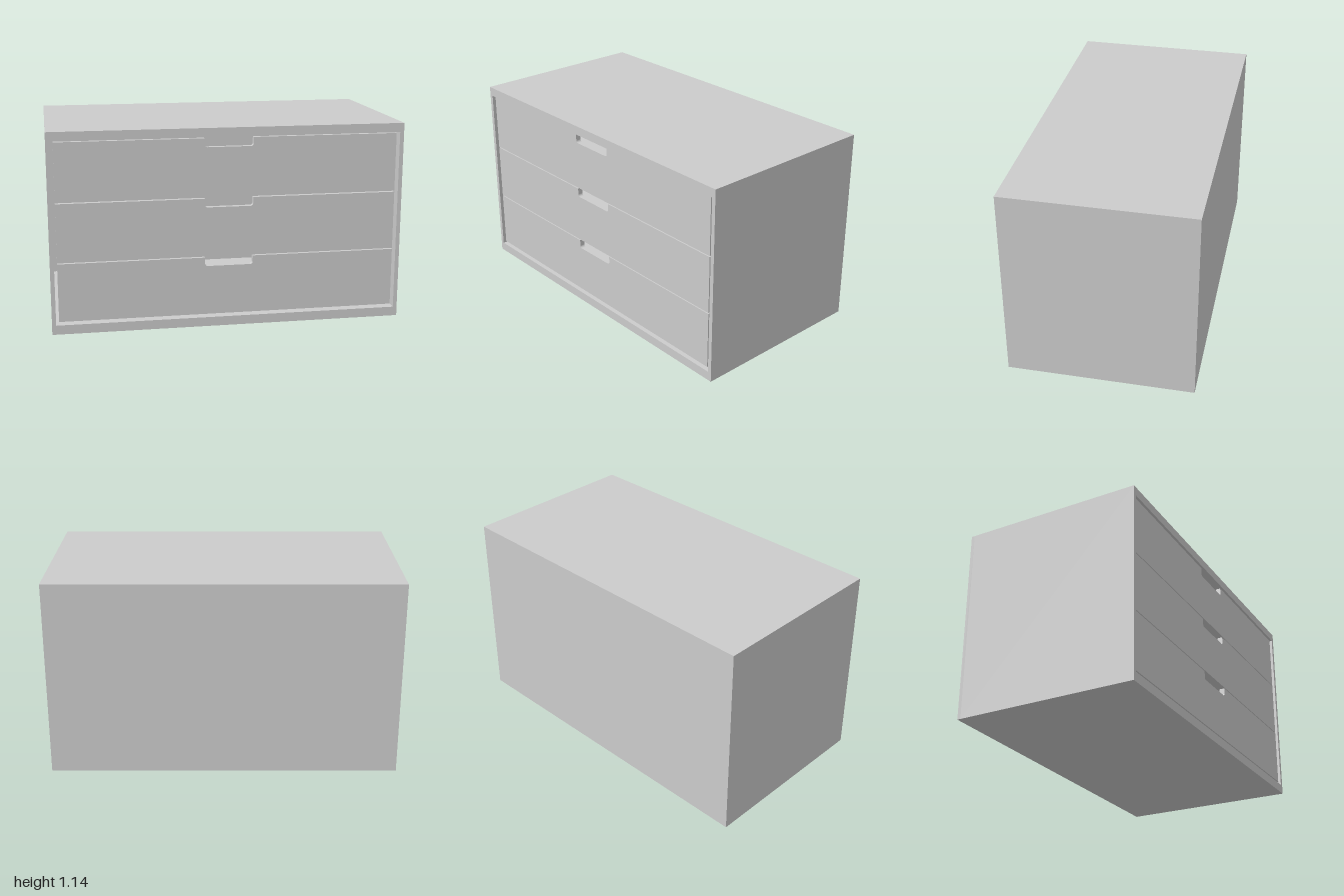
import * as THREE from 'three';

const W = 2, H = 1.14, D = 1.066;              // overall cabinet size
const FRONT = D / 2, BACK = -D / 2;
const OPEN = { x: 0.977, bottom: 0.053, top: 1.088 };
const PANEL = { half: 0.96, thick: 0.03, recess: 0.01 };
const NOTCH = { half: 0.137, depth: 0.05, radius: 0.014 };

const material = new THREE.MeshStandardMaterial({ color: 0xcccccc });

function addMesh(parent, name, geometry, x = 0, y = 0, z = 0) {
  const mesh = new THREE.Mesh(geometry, material);
  mesh.name = name;
  mesh.position.set(x, y, z);
  parent.add(mesh);
  return mesh;
}

// Box given by its minimum and maximum corners
function addBox(parent, name, [x0, y0, z0], [x1, y1, z1]) {
  const geometry = new THREE.BoxGeometry(x1 - x0, y1 - y0, z1 - z0);
  return addMesh(parent, name, geometry, (x0 + x1) / 2, (y0 + y1) / 2, (z0 + z1) / 2);
}

// Drawer front with a round-cornered finger notch in its top edge
function drawerFrontGeometry(height) {
  const { half: n, depth, radius: r } = NOTCH;
  const floor = height - depth;
  const s = new THREE.Shape();
  s.moveTo(-PANEL.half, 0);
  s.lineTo(PANEL.half, 0);
  s.lineTo(PANEL.half, height);
  s.lineTo(n, height);
  s.lineTo(n, floor + r);
  s.absarc(n - r, floor + r, r, 0, -Math.PI / 2, true);
  s.lineTo(-n + r, floor);
  s.absarc(-n + r, floor + r, r, -Math.PI / 2, -Math.PI, true);
  s.lineTo(-n, height);
  s.lineTo(-PANEL.half, height);
  s.closePath();
  return new THREE.ExtrudeGeometry(s, { depth: PANEL.thick, bevelEnabled: false, curveSegments: 6 });
}

// One drawer: notched front plus an open-topped box behind it
function createDrawer(bottom, top) {
  const drawer = new THREE.Group();
  drawer.name = 'drawer';
  const zPanel = FRONT - PANEL.recess - PANEL.thick;
  addMesh(drawer, 'drawerFront', drawerFrontGeometry(top - bottom), 0, bottom, zPanel);

  const x = 0.94, t = 0.02, zBack = BACK + 0.05;
  const y0 = bottom + 0.01, y1 = top - 0.06;
  addBox(drawer, 'drawerFloor', [-x, y0, zBack], [x, y0 + t, zPanel]);
  addBox(drawer, 'drawerBack', [-x + t, y0 + t, zBack], [x - t, y1, zBack + t]);
  for (const side of [-1, 1]) {
    const inner = side * (x - t), outer = side * x;
    addBox(drawer, side > 0 ? 'drawerLeftSide' : 'drawerRightSide',
      [Math.min(inner, outer), y0 + t, zBack], [Math.max(inner, outer), y1, zPanel]);
  }
  return drawer;
}

export function createModel() {
  const model = new THREE.Group();
  model.name = 'chestOfDrawers';

  // Cabinet shell: rectangular tube, closed by a back panel
  const backThick = 0.02;
  const shell = new THREE.Shape([
    new THREE.Vector2(-W / 2, 0), new THREE.Vector2(W / 2, 0),
    new THREE.Vector2(W / 2, H), new THREE.Vector2(-W / 2, H),
  ]);
  shell.holes.push(new THREE.Path([
    new THREE.Vector2(-OPEN.x, OPEN.bottom), new THREE.Vector2(-OPEN.x, OPEN.top),
    new THREE.Vector2(OPEN.x, OPEN.top), new THREE.Vector2(OPEN.x, OPEN.bottom),
  ]));
  addMesh(model, 'cabinetShell',
    new THREE.ExtrudeGeometry(shell, { depth: D - backThick, bevelEnabled: false }), 0, 0, BACK + backThick);
  addBox(model, 'cabinetBack', [-W / 2, 0, BACK], [W / 2, H, BACK + backThick]);

  // Three equal drawers with narrow gaps between them
  const first = 0.07, last = 1.082, gap = 0.006, count = 3;
  const height = (last - first - gap * (count - 1)) / count;
  for (let i = 0; i < count; i++) {
    const bottom = first + i * (height + gap);
    model.add(createDrawer(bottom, bottom + height));
  }
  return model;
}
